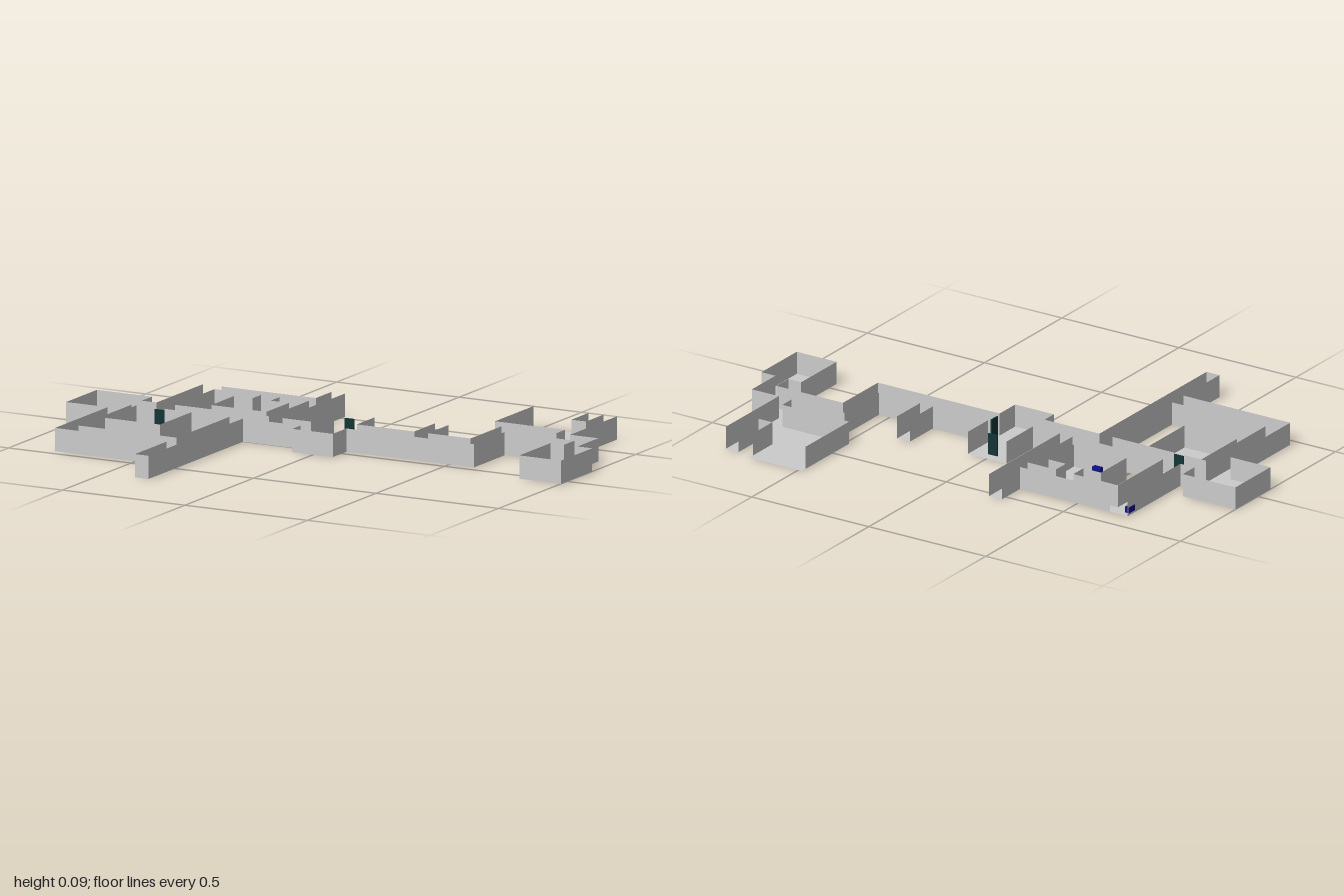
import * as THREE from 'three';

const H = 0.085;

// Floor plan: name, x0, x1, z0, z1
const spaces = [
  ['westRoom', -1, -0.775, -0.145, 0.08],
  ['mainCorridor', -0.775, -0.085, -0.07, 0.005],
  ['centralRoom', -0.085, 0.08, -0.24, 0.065],
  ['southRoom', -0.755, -0.53, 0.005, 0.235],
  ['southWestCorridor', -0.83, -0.775, 0.08, 0.39],
  ['southCrossCorridor', -0.83, -0.375, 0.39, 0.465],
  ['southCorridor', -0.375, -0.32, 0.005, 0.695],
  ['northWestCorridor', -0.715, -0.64, -0.36, -0.07],
  ['northCrossCorridor', -0.715, -0.255, -0.41, -0.36],
  ['northCorridor', -0.255, -0.2, -0.525, -0.07],
  ['alcovePassage', -0.45, -0.375, -0.36, -0.295],
  ['alcoveRoom', -0.525, -0.3, -0.295, -0.13],
  ['eastCorridor', 0.08, 0.545, -0.11, -0.035],
  ['eastStub', 0.315, 0.37, -0.26, -0.11],
  ['eastBend', 0.545, 0.6, -0.26, -0.035],
  ['eastCrossCorridor', 0.545, 0.94, -0.335, -0.26],
  ['northEastCorridor', 0.77, 0.825, -0.677, -0.335],
  ['eastRoomPassage', 0.885, 0.94, -0.26, -0.183],
  ['eastRoom', 0.83, 1, -0.183, 0.045],
  ['northEastRoom', 0.485, 0.71, -0.675, -0.395],
  ['northEastLink', 0.71, 0.77, -0.55, -0.395],
];

// Open ends without a wall: x0, x1, z0, z1
const openings = [
  [-0.085, 0.08, -0.26, -0.24],
  [0.485, 0.71, -0.7, -0.675],
  [0.315, 0.37, -0.28, -0.26],
  [0.77, 0.825, -0.7, -0.677],
  [-0.255, -0.2, -0.55, -0.525],
  [-0.715, -0.64, -0.43, -0.41],
];

const areas = [...spaces.map((s) => s.slice(1)), ...openings];
const isOpen = (x, z) => areas.some(([a, b, c, d]) => x > a && x < b && z > c && z < d);

export function createModel() {
  const model = new THREE.Group();
  const grey = new THREE.MeshStandardMaterial({ color: 0xcccccc, side: THREE.DoubleSide });
  const doorMat = new THREE.MeshStandardMaterial({ color: 0x143436 });
  const blue = new THREE.MeshStandardMaterial({ color: 0x10108a });

  const add = (parent, name, geo, mat, x, y, z) => {
    const mesh = new THREE.Mesh(geo, mat);
    mesh.name = name;
    mesh.position.set(x, y, z);
    parent.add(mesh);
    return mesh;
  };
  const addFloor = (parent, x0, x1, z0, z1) =>
    add(parent, 'floor', new THREE.PlaneGeometry(x1 - x0, z1 - z0).rotateX(-Math.PI / 2),
      grey, (x0 + x1) / 2, 0, (z0 + z1) / 2);
  // Upright sheet along x or along z
  const addWall = (parent, alongX, from, to, at) => {
    const geo = new THREE.PlaneGeometry(to - from, H);
    const mid = (from + to) / 2;
    if (alongX) add(parent, 'wall', geo, grey, mid, H / 2, at);
    else add(parent, 'wall', geo.rotateY(Math.PI / 2), grey, at, H / 2, mid);
  };
  // Wall one side of a space, leaving gaps where another space joins it
  const wallSide = (parent, alongX, from, to, at, out) => {
    const cuts = areas.flatMap((a) => (alongX ? [a[0], a[1]] : [a[2], a[3]]))
      .filter((v) => v > from && v < to);
    const stops = [...new Set([from, ...cuts, to])].sort((a, b) => a - b);
    let start = null;
    for (let i = 0; i < stops.length - 1; i++) {
      const mid = (stops[i] + stops[i + 1]) / 2;
      const probe = at + out * 0.003;
      const open = alongX ? isOpen(mid, probe) : isOpen(probe, mid);
      if (!open && start === null) start = stops[i];
      if (open && start !== null) {
        addWall(parent, alongX, start, stops[i], at);
        start = null;
      }
    }
    if (start !== null) addWall(parent, alongX, start, to, at);
  };

  // Rooms and corridors
  for (const [name, x0, x1, z0, z1] of spaces) {
    const g = new THREE.Group();
    g.name = name;
    addFloor(g, x0, x1, z0, z1);
    wallSide(g, true, x0, x1, z0, -1);
    wallSide(g, true, x0, x1, z1, 1);
    wallSide(g, false, z0, z1, x0, -1);
    wallSide(g, false, z0, z1, x1, 1);
    model.add(g);
  }

  // Floor lip past the open end of the north-east room
  addFloor(model, 0.485, 0.71, -0.7, -0.675).name = 'floorLip';

  // Partition beside the south room door
  addWall(model, true, -0.755, -0.68, 0.005);
  addWall(model, true, -0.64, -0.53, 0.005);

  // Door panels
  const door = new THREE.BoxGeometry(0.04, 0.08, 0.005);
  add(model, 'centralDoor', door, doorMat, 0, 0.04, -0.2);
  add(model, 'southRoomDoor', door, doorMat, -0.66, 0.04, 0.005);
  add(model, 'eastDoor', door, doorMat, 0.08, 0.04, -0.07).rotation.y = Math.PI / 2;

  // Small chests against the walls: x, z, turned along x
  const chest = new THREE.BoxGeometry(0.018, 0.022, 0.036);
  for (const [x, z, turned] of [
    [-0.708, -0.385], [-0.983, -0.11], [-0.983, 0.045], [-0.735, 0.175],
    [0.502, -0.587], [-0.413, -0.148, true], [-0.343, 0.675, true],
  ]) {
    add(model, 'chest', chest, blue, x, 0.02, z).rotation.y = turned ? Math.PI / 2 : 0;
  }
  return model;
}
